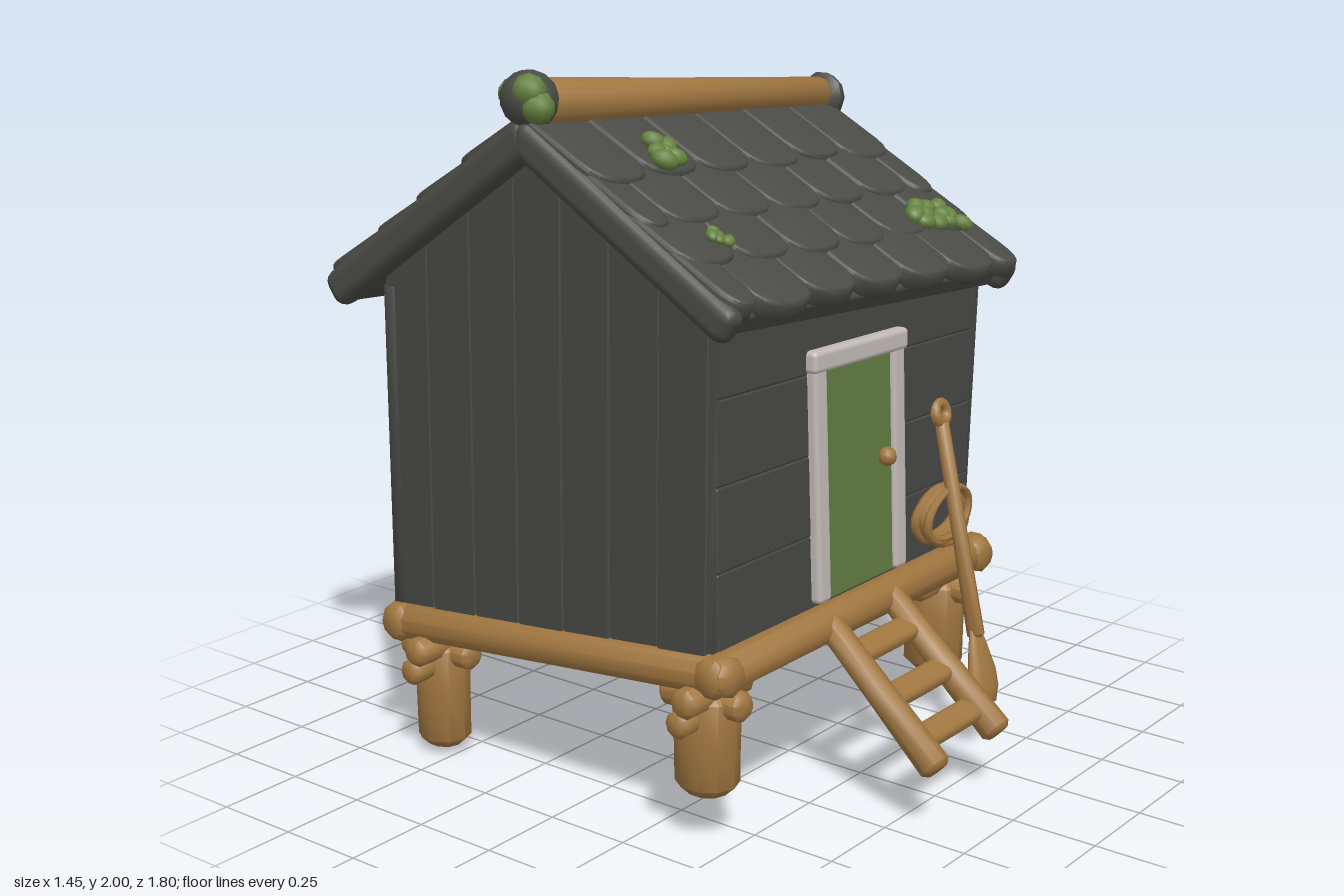
import * as THREE from 'three';
import { toCreasedNormals } from 'three/addons/utils/BufferGeometryUtils.js';
import { RoundedBoxGeometry } from 'three/addons/geometries/RoundedBoxGeometry.js';

const paint = (name, color) => {
  const m = new THREE.MeshStandardMaterial({ color });
  m.name = name;
  return m;
};

export function createModel() {
  const roofDark = paint('roofDark', 0x4a4b46), wallDark = paint('wallDark', 0x464744);
  const wood = paint('wood', 0xa07640), trim = paint('trim', 0xc1bab6);
  const doorGreen = paint('doorGreen', 0x637c41), mossGreen = paint('mossGreen', 0x64823f);
  const grassGreen = paint('grassGreen', 0x527347), glass = paint('glass', 0xf0ecae);

  let seed = 7;
  const rnd = (a = -1, b = 1) => {
    seed = (seed * 16807) % 2147483647;
    return a + (b - a) * seed / 2147483647;
  };
  const V = (x, y, z) => new THREE.Vector3(x, y, z);
  const group = (parent, name) => {
    const g = new THREE.Group();
    g.name = name;
    parent.add(g);
    return g;
  };
  const add = (parent, name, geo, mat, x = 0, y = 0, z = 0) => {
    const m = new THREE.Mesh(geo, mat);
    m.name = name;
    m.position.set(x, y, z);
    parent.add(m);
    return m;
  };
  const box = (parent, name, mat, w, h, d, x, y, z, r = 0.015) =>
    add(parent, name, new RoundedBoxGeometry(w, h, d, 2, Math.min(r, w / 2.1, h / 2.1, d / 2.1)), mat, x, y, z);
  // Round timber with softened ends running from a to b
  const log = (parent, name, mat, a, b, r0, r1 = r0, sides = 10) => {
    const L = a.distanceTo(b), e = Math.min(r0, r1) * 0.35;
    const pts = [[0, 0], [r0 - e, 0], [r0, e], [(r0 + r1) * 0.49, L / 2], [r1, L - e], [r1 - e, L], [0, L]];
    const geo = new THREE.LatheGeometry(pts.map(p => new THREE.Vector2(...p)), sides);
    const m = add(parent, name, toCreasedNormals(geo, 0.9), mat, a.x, a.y, a.z);
    m.quaternion.setFromUnitVectors(V(0, 1, 0), b.clone().sub(a).normalize());
    return m;
  };
  // Flatten a group into meshes whose vertices are moved by a rule
  const bake = (source, target, rule) => {
    source.updateMatrixWorld(true);
    source.traverse(o => {
      if (!o.isMesh) return;
      const geo = o.geometry.clone().applyMatrix4(o.matrixWorld), p = geo.attributes.position, v = V(0, 0, 0);
      for (let i = 0; i < p.count; i++) {
        rule(v.fromBufferAttribute(p, i));
        p.setXYZ(i, v.x, v.y, v.z);
      }
      add(target, o.name, geo, o.material);
    });
  };

  const model = new THREE.Group();
  model.name = 'stiltHut';

  // Sloping platform: slab plus rim logs
  const floorY = z => 0.507 + 0.096 * z;
  const base = group(model, 'platform');
  const slab = box(base, 'floorSlab', wood, 1.26, 0.09, 1.2, -0.035, floorY(-0.08) - 0.055, -0.08);
  slab.rotation.x = -0.096;
  const corner = (x, z) => V(x, floorY(z) - 0.052, z);
  for (const z of [0.49, -0.65]) log(base, 'rimLog', wood, corner(-0.7, z), corner(0.63, z), 0.056);
  for (const x of [-0.645, 0.575]) log(base, 'rimLog', wood, corner(x, 0.55), corner(x, -0.7), 0.054);

  // Posts with short logs and pegs on top
  for (const x of [-0.59, 0.515]) for (const [z, foot, r] of [[0.41, 0.14, 0.088], [-0.56, 0.02, 0.078]]) {
    const y = floorY(z) - 0.105, g = group(model, 'post');
    log(g, 'postTimber', wood, V(x, foot, z), V(x, y, z), r * 0.93, r).scale.z = 1.1;
    log(g, 'crossLog', wood, V(x - 0.14, y - 0.012, z + 0.02), V(x + 0.13, y - 0.012, z + 0.02), 0.042, 0.046);
    log(g, 'crossLog', wood, V(x, y - 0.035, z + 0.13), V(x, y - 0.045, z - 0.14), 0.042);
    log(g, 'peg', wood, V(x, y - 0.075, z), V(x + Math.sign(x) * 0.14, y - 0.075, z), 0.038);
  }

  // House body, built square and then leaned
  const RIDGE = { y: 1.838, z: -0.13 }, EAVES = [{ y: 1.41, z: 0.57, s: 1 }, { y: 1.32, z: -0.89, s: -1 }];
  const roofY = z => {
    const e = z > RIDGE.z ? EAVES[0] : EAVES[1];
    return RIDGE.y + (e.y - RIDGE.y) * (z - RIDGE.z) / (e.z - RIDGE.z);
  };
  const gable = (parent, name, z0, z1, x, depth) => {
    const zs = [z0];
    if (z0 > RIDGE.z && z1 < RIDGE.z) zs.push(RIDGE.z);
    zs.push(z1);
    const pts = [[-z1, floorY(z1) - 0.02], [-z0, floorY(z0) - 0.02], ...zs.map(z => [-z, roofY(z) - 0.07])];
    const shape = new THREE.Shape(pts.map(p => new THREE.Vector2(...p)));
    const geo = new THREE.ExtrudeGeometry(shape, { depth, bevelEnabled: true, bevelSize: 0.004, bevelOffset: -0.004, bevelThickness: 0.004, bevelSegments: 1 });
    add(parent, name, geo.rotateY(Math.PI / 2), wallDark, x);
  };
  const rawHouse = new THREE.Group();
  gable(rawHouse, 'wallCore', 0.435, -0.675, -0.62, 1.2);
  const N = 7;
  for (let i = 0; i < N; i++) {
    const z0 = 0.455 - i * 1.145 / N, z1 = z0 - 1.145 / N + 0.003;
    gable(rawHouse, 'sidePlank', z0, z1, 0.57, 0.028 + rnd(0, 0.009));
    gable(rawHouse, 'sidePlank', z0, z1, -0.645 - rnd(0, 0.008), 0.04);
  }
  for (let i = 0; i < 4; i++) {
    box(rawHouse, 'frontPlank', wallDark, 1.2, 0.222, 0.04, -0.025, 0.645 + i * 0.22, 0.45 - i * 0.007 + rnd(0, 0.005), 0.008).rotation.x = -0.03;
    box(rawHouse, 'backPlank', wallDark, 1.2, 0.243, 0.04, -0.025, 0.535 + i * 0.24, -0.68 - rnd(0, 0.008), 0.008);
  }
  for (const x of [-0.615, 0.565]) {
    log(rawHouse, 'cornerPost', wallDark, V(x, 0.53, 0.43), V(x, 1.4, 0.41), 0.042);
    log(rawHouse, 'cornerPost', wallDark, V(x, 0.43, -0.66), V(x, 1.35, -0.67), 0.042);
  }
  bake(rawHouse, group(model, 'house'), v => {
    v.y -= 0.065 * v.x * Math.max(0, (v.y - 0.6) / 1.1);
    v.x += Math.max(0, v.y - 0.55) * (v.x > 0 ? 0.055 : 0.018);
  });

  // Roof, built level and then sheared down towards +x
  const shingleGeo = (w, len, depth) => {
    const s = new THREE.Shape(), h = w / 2, d = 0.085;
    s.moveTo(-h, len).lineTo(-h, d);
    s.bezierCurveTo(-h, 0.025, -h * 0.55, 0, 0, 0);
    s.bezierCurveTo(h * 0.55, 0, h, 0.025, h, d);
    s.lineTo(h, len).closePath();
    const geo = new THREE.ExtrudeGeometry(s, { depth, curveSegments: 5, bevelThickness: 0.01, bevelSize: 0.012, bevelOffset: -0.009, bevelSegments: 2 });
    return toCreasedNormals(geo.translate(0, 0, -depth), 0.8);
  };
  const rawRoof = new THREE.Group();
  const rows = [[0.36, 0.586, 0.786, 0.99], [0.34, 0.54, 0.75, 0.99]];
  EAVES.forEach((e, k) => {
    const up = V(0, RIDGE.y - e.y, RIDGE.z - e.z), L = up.length(), X = V(e.s, 0, 0);
    up.normalize();
    const g = group(rawRoof, 'roofSide');
    new THREE.Matrix4().makeBasis(X, up, X.clone().cross(up)).setPosition(0, RIDGE.y, RIDGE.z)
      .decompose(g.position, g.quaternion, g.scale);
    box(g, 'roofDeck', roofDark, 1.3, L - 0.03, 0.065, 0, -L / 2 + 0.015, -0.06);
    for (const x of [-0.655, 0.655]) box(g, 'bargeBoard', roofDark, 0.075, L, 0.105, x, -L / 2, -0.045, 0.035);
    rows[k].forEach((t, r) => {
      const half = r % 2, n = 6 + half, w = 1.34 / 6, depth = r === 3 ? 0.04 : 0.018;
      for (let i = 0; i < n; i++) {
        const end = half && (i === 0 || i === n - 1);
        const x = -0.67 + w * (i + (half ? 0 : 0.5)) + (end ? (i ? -w / 4 : w / 4) : 0);
        const m = add(g, 'shingle', shingleGeo(end ? w / 2 : w, 0.3, depth), roofDark, x, -t * L + rnd(-0.012, 0.012), 0.014 + rnd(0, 0.005));
        m.rotation.set(-0.055, rnd() * 0.025, rnd() * 0.02);
      }
    });
  });
  log(rawRoof, 'ridgeLog', wood, V(-0.63, 1.878, -0.125), V(0.67, 1.856, -0.13), 0.064, 0.05, 12);
  log(rawRoof, 'ridgeCap', roofDark, V(0.64, 1.85, -0.13), V(0.715, 1.845, -0.13), 0.074, 0.066);
  add(rawRoof, 'ridgeKnot', new THREE.IcosahedronGeometry(0.078, 2), roofDark, -0.635, 1.885, -0.13);

  // Moss clumps
  const moss = (x, z, size, n, lift) => {
    for (let i = 0; i < n; i++) {
      const a = i * 2.4, d = i ? size * rnd(0.4, 0.8) : 0;
      const px = x + Math.cos(a) * d, pz = z + Math.sin(a) * d * 0.9;
      const m = add(rawRoof, 'moss', new THREE.IcosahedronGeometry(size * rnd(0.45, 0.6), 1), mossGreen, px, roofY(pz) + lift, pz);
      m.scale.set(1.1, 0.75, 0.9);
      m.rotation.set(z > RIDGE.z ? 0.5 : -0.5, rnd(), 0);
    }
  };
  moss(-0.37, 0.1, 0.06, 6, 0.06);
  moss(-0.49, 0.37, 0.036, 5, 0.045);
  moss(0.45, 0.385, 0.06, 6, 0.036);
  moss(0.55, 0.4, 0.055, 5, 0.036);
  moss(-0.49, -0.73, 0.04, 5, 0.055);
  [[-0.668, 1.91, -0.1], [-0.64, 1.895, -0.175], [-0.66, 1.87, -0.08]].forEach(p =>
    add(rawRoof, 'capMoss', new THREE.IcosahedronGeometry(0.046, 1), mossGreen, ...p));
  bake(rawRoof, group(model, 'roof'), v => { v.y -= 0.068 * v.x; });

  // Door
  const door = group(model, 'door');
  door.position.set(0, 0.565, 0.475);
  door.rotation.x = -0.03;
  box(door, 'doorPanel', doorGreen, 0.34, 0.65, 0.02, 0, 0.325, 0.004, 0.004);
  box(door, 'doorFrame', trim, 0.06, 0.66, 0.045, -0.186, 0.33, 0.006).rotation.z = 0.012;
  box(door, 'doorFrame', trim, 0.06, 0.66, 0.045, 0.187, 0.33, 0.006).rotation.z = 0.012;
  box(door, 'doorLintel', trim, 0.45, 0.062, 0.05, 0, 0.668, 0.008).rotation.z = -0.03;
  add(door, 'doorKnob', new THREE.SphereGeometry(0.027, 10, 8), wood, 0.115, 0.345, 0.03);

  // Window on the left wall
  const win = group(model, 'window');
  win.position.set(0.645, 0.995, -0.105);
  win.rotation.y = Math.PI / 2;
  const sash = group(win, 'sash');
  sash.rotation.z = -0.05;
  box(sash, 'windowPanes', glass, 0.34, 0.33, 0.012, 0, 0, 0.004, 0.002);
  for (const s of [-1, 1]) {
    box(sash, 'windowFrame', trim, 0.07, 0.41, 0.068, s * 0.188, 0, 0, 0.022);
    box(sash, 'windowFrame', trim, 0.44, 0.066, 0.068, 0, s * 0.174, 0, 0.022);
  }
  box(sash, 'mullion', trim, 0.042, 0.34, 0.03, 0, 0, 0.008, 0.01);
  box(sash, 'mullion', trim, 0.34, 0.042, 0.03, 0, 0, 0.008, 0.01);

  // Ladder
  const ladder = group(model, 'ladder');
  for (const [x0, x1] of [[-0.18, -0.198], [0.115, 0.113]])
    log(ladder, 'ladderRail', wood, V(x0, 0.52, 0.5), V(x1, 0.185, 0.88), 0.038, 0.045, 8);
  for (const [y, z] of [[0.435, 0.59], [0.338, 0.705], [0.245, 0.805]])
    box(ladder, 'rung', wood, 0.29, 0.045, 0.08, -0.04, y, z, 0.02).rotation.x = 0.3;

  // Paddle leaning against the platform
  const paddle = group(model, 'paddle');
  const top = V(0.425, 0.94, 0.475), low = V(0.355, 0.34, 0.655), dir = top.clone().sub(low).normalize();
  log(paddle, 'paddleShaft', wood, low, top, 0.026, 0.021, 8);
  const ends = group(paddle, 'paddleEnds');
  ends.position.copy(low);
  ends.quaternion.setFromUnitVectors(V(0, 1, 0), dir);
  add(ends, 'handleRing', new THREE.TorusGeometry(0.028, 0.018, 8, 14), wood, 0, 0.655, 0);
  const bladePts = [[0, -0.2], [0.045, -0.192], [0.066, -0.15], [0.066, -0.1], [0.045, -0.03], [0.024, 0.03], [0, 0.04]];
  const blade = new THREE.LatheGeometry(bladePts.map(p => new THREE.Vector2(...p)), 12);
  add(ends, 'paddleBlade', blade, wood).scale.z = 0.36;

  // Coil of rope hanging on the wall
  const coil = group(model, 'ropeCoil');
  for (let i = 0; i < 6; i++) {
    const m = add(coil, 'ropeLoop', new THREE.TorusGeometry(0.102 + rnd() * 0.014, 0.014, 6, 24), wood, 0.402 + rnd() * 0.01, 0.668 + rnd() * 0.016, 0.488 + i * 0.006);
    m.scale.y = 0.68;
    m.rotation.set(rnd() * 0.1, rnd() * 0.1, rnd() * 0.2);
  }

  // Leafy tuft by the rear post
  const tuft = group(model, 'grassTuft');
  for (let i = 0; i < 10; i++) {
    const a = i * 2.4, lean = 0.15 + 0.95 * (i / 10), h = 0.19 - 0.004 * i;
    const leaf = new THREE.SphereGeometry(1, 6, 5).scale(0.04, h / 2, 0.028).translate(0, h / 2, 0);
    const m = add(tuft, 'leaf', leaf, grassGreen, 0.54 + Math.cos(a) * 0.06 * lean, 0.005, -0.72 + Math.sin(a) * 0.03 * lean);
    m.rotation.set(lean, Math.PI / 2 - a, 0, 'YXZ');
  }
  return model;
}
